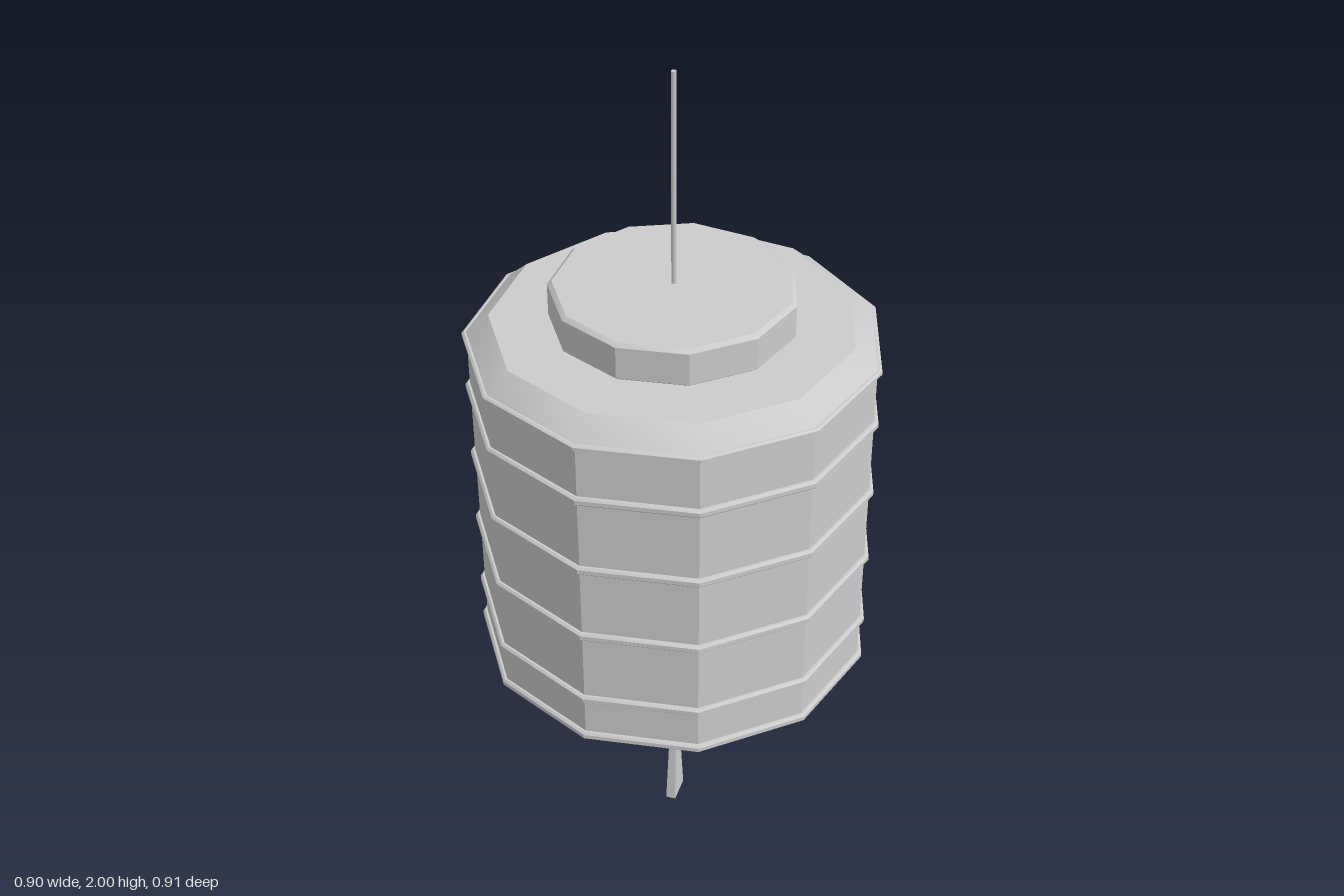
import * as THREE from 'three';
import { toCreasedNormals } from 'three/addons/utils/BufferGeometryUtils.js';

const SIDES = 11;

export function createModel() {
  const lantern = new THREE.Group();
  lantern.name = 'hangingLantern';
  const material = new THREE.MeshStandardMaterial({ color: 0xcccccc });

  // All parts share one axis, set so the odd-sided body is centred.
  const add = (name, geometry, y = 0) => {
    const mesh = new THREE.Mesh(geometry, material);
    mesh.name = name;
    mesh.position.set(-0.01, y, 0);
    lantern.add(mesh);
  };

  // Eleven-sided turned form with a corner towards +x, profile from bottom to top.
  const turned = (profile) => {
    const points = profile.map(([r, y]) => new THREE.Vector2(r, y));
    return toCreasedNormals(new THREE.LatheGeometry(points, SIDES, Math.PI / 2), Math.PI / 6);
  };

  // Body with sloping shoulders
  add('body', turned([
    [0, 0.535], [0.4, 0.535], [0.45, 0.577], [0.45, 1.387], [0.4, 1.43], [0, 1.43],
  ]));

  // Ribs around the body; the outer two sit at the shoulders
  const rib = (h) => turned([[0.44, -h], [0.455, -h], [0.46, -h / 2], [0.46, h / 2], [0.455, h], [0.44, h]]);
  for (const y of [0.698, 0.881, 1.064, 1.246]) add('rib', rib(0.01), y);
  add('lowerShoulderRib', rib(0.01), 0.589);
  add('upperShoulderRib', rib(0.007), 1.38);

  // Collars above and below, with small bevels
  const collar = () => turned([
    [0, 0], [0.26, 0], [0.27, 0.008], [0.27, 0.082], [0.26, 0.09], [0, 0.09],
  ]);
  add('topCollar', collar(), 1.427);
  add('bottomCollar', collar(), 0.448);

  // Cord from bead to hanging point
  add('cord', new THREE.CylinderGeometry(0.006, 0.006, 1.68, 8), 1.16);

  // Bead
  add('bead', new THREE.SphereGeometry(0.042, 16, 12), 0.323);

  // Flat tassel, widening downwards
  const tassel = new THREE.BoxGeometry(1, 0.3, 1);
  const p = tassel.attributes.position;
  for (let i = 0; i < p.count; i++) {
    const top = p.getY(i) > 0;
    p.setX(i, p.getX(i) * (top ? 0.013 : 0.024));
    p.setZ(i, p.getZ(i) * (top ? 0.014 : 0.068));
  }
  tassel.computeVertexNormals();
  add('tassel', tassel, 0.15);

  return lantern;
}
